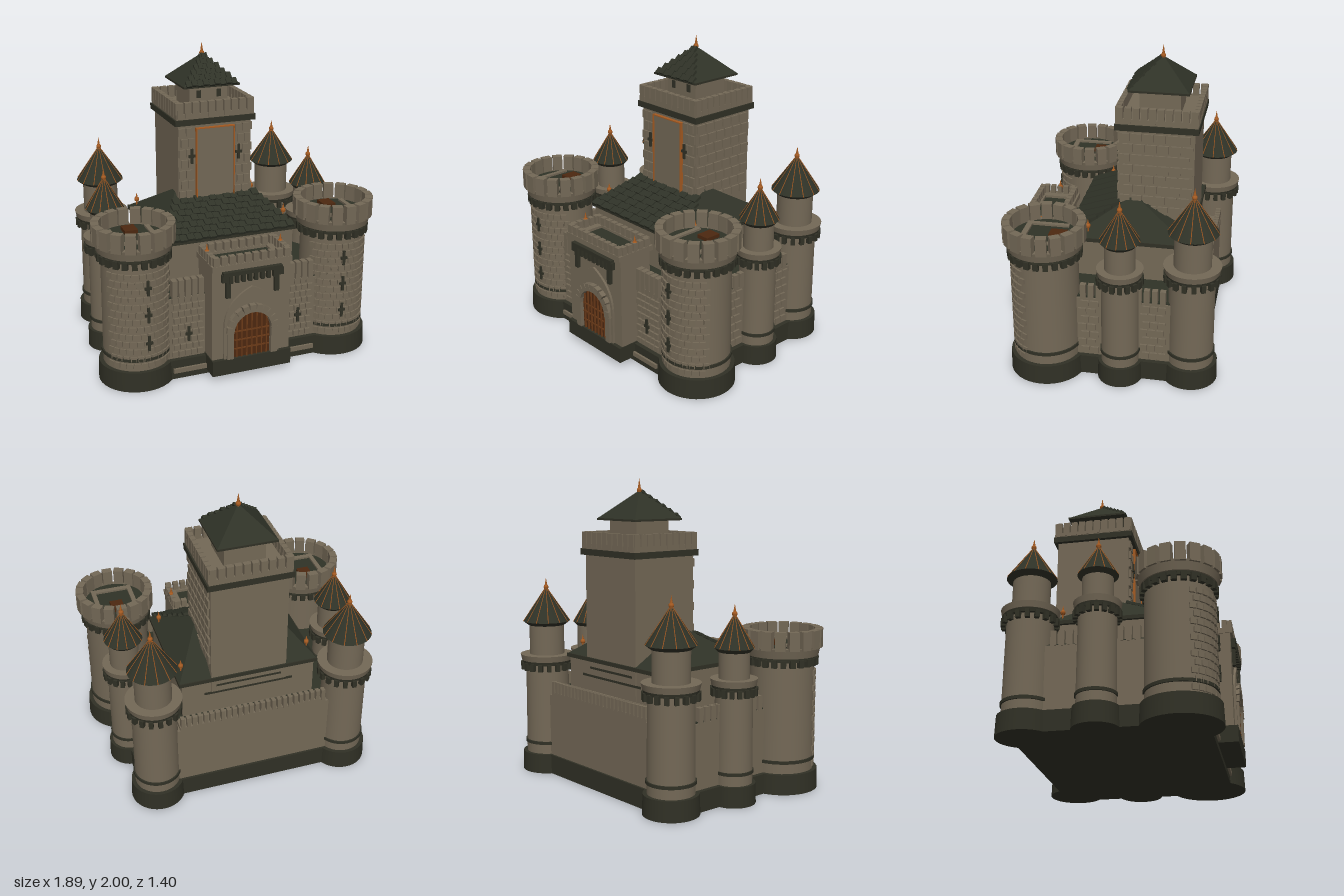
import * as THREE from 'three';
import { mergeGeometries } from 'three/addons/utils/BufferGeometryUtils.js';

const material = (name, color) => Object.assign(new THREE.MeshStandardMaterial({ color }), { name });

export function createModel() {
  const stone = material('stone', 0x736856);
  const slate = material('slate', 0x2f3227);
  const trim = material('darkTrim', 0x303025);
  const copper = material('copper', 0xa35a22);
  const wood = material('wood', 0x4c2810);
  const bar = material('gateBars', 0x6b3a18);
  const model = new THREE.Group();
  model.name = 'castle';

  // Pieces sharing a part name and colour are collected and merged.
  const parts = new Map();
  function add(name, mat, geo, x = 0, y = 0, z = 0, ry = 0, rx = 0) {
    geo = geo.index ? geo.toNonIndexed() : geo;
    geo.applyMatrix4(new THREE.Matrix4().compose(new THREE.Vector3(x, y, z),
      new THREE.Quaternion().setFromEuler(new THREE.Euler(rx, ry, 0, 'YXZ')), new THREE.Vector3(1, 1, 1)));
    if (!parts.has(name)) parts.set(name, { mat, geos: [] });
    parts.get(name).geos.push(geo);
  }
  // Box given by its extents
  const span = (name, mat, x0, x1, y0, y1, z0, z1) => add(name, mat,
    new THREE.BoxGeometry(x1 - x0, y1 - y0, z1 - z0), (x0 + x1) / 2, (y0 + y1) / 2, (z0 + z1) / 2);
  const box = (name, mat, w, h, d, x, y, z, ry, rx) => add(name, mat, new THREE.BoxGeometry(w, h, d), x, y, z, ry, rx);
  const drum = (name, mat, r0, r1, y0, y1, x, z, n = 40) =>
    add(name, mat, new THREE.CylinderGeometry(r1, r0, y1 - y0, n), x, (y0 + y1) / 2, z);
  // Boxes evenly spaced on a circle
  function ring(name, mat, n, r, w, h, d, x, y, z) {
    for (let i = 0; i < n; i++) {
      const a = i / n * Math.PI * 2;
      box(name, mat, w, h, d, x + Math.sin(a) * r, y, z + Math.cos(a) * r, a);
    }
  }
  // Straight row of boxes along x or z
  function row(name, mat, axis, from, to, n, fill, y0, y1, at, depth) {
    const p = (to - from) / n;
    for (let i = 0; i < n; i++) {
      const c = from + p * (i + 0.5), y = (y0 + y1) / 2;
      if (axis === 'x') box(name, mat, p * fill, y1 - y0, depth, c, y, at);
      else box(name, mat, depth, y1 - y0, p * fill, at, y, c);
    }
  }
  // Staggered raised blocks on a flat wall
  function blocks(name, axis, from, to, y0, y1, rows, n, at) {
    const h = (y1 - y0) / rows, p = (to - from) / n;
    for (let r = 0; r < rows; r++) {
      const s = r % 2 ? p * 0.25 : 0;
      row(name, stone, axis, from + s, to - p * 0.25 + s, n, 0.84, y0 + h * (r + 0.1), y0 + h * (r + 0.85), at, 0.02);
    }
  }
  // Cross-shaped arrow slit
  function slit(x, y, z, ry = 0) {
    box('arrowSlits', trim, 0.016, 0.1, 0.012, x, y, z, ry);
    box('arrowSlits', trim, 0.045, 0.018, 0.012, x, y, z, ry);
  }
  function finial(x, y, z, h) {
    add('finials', copper, new THREE.ConeGeometry(0.014, h, 10), x, y + h / 2, z);
    add('finials', copper, new THREE.SphereGeometry(0.017, 10, 8), x, y + 0.012, z);
  }

  // Plinth and curtain walls
  span('plinth', trim, -0.76, 0.76, 0, 0.13, -0.61, 0.56);
  span('curtainWalls', stone, -0.73, 0.73, 0.13, 0.545, -0.595, 0.53);
  span('wallWalk', slate, -0.72, 0.72, 0.545, 0.555, -0.5, 0.52);
  span('backWalk', stone, -0.5, 0.5, 0.545, 0.57, -0.595, -0.5);
  row('backMerlons', stone, 'x', -0.5, 0.5, 26, 0.65, 0.56, 0.64, -0.58, 0.035);
  span('plinthLedge', stone, -0.49, 0.49, 0.045, 0.075, 0.55, 0.575);
  for (const s of [-1, 1]) {
    row('sideMerlons', stone, 'z', -0.38, 0.18, 11, 0.7, 0.54, 0.64, s * 0.715, 0.035);
    const a = s > 0 ? 0.27 : -0.49;
    row('frontMerlons', stone, 'x', a, a + 0.22, 5, 0.75, 0.54, 0.67, 0.52, 0.05);
    blocks('frontWallBlocks', 'x', a, a + 0.22, 0.14, 0.56, 9, 5, 0.535);
    slit(s * 0.38, 0.3, 0.55);
  }
  blocks('sideWallBlocks', 'z', 0.05, 0.19, 0.14, 0.54, 7, 2, 0.733);
  blocks('sideWallBlocks', 'z', -0.38, -0.21, 0.14, 0.54, 7, 3, 0.733);

  // Hall with hip roof
  span('hallWalls', stone, -0.45, 0.45, 0.5, 0.81, -0.47, 0.29);
  span('hallEaves', trim, -0.47, 0.47, 0.805, 0.83, -0.485, 0.305);
  span('hallBackBands', trim, -0.3, 0.3, 0.7, 0.715, -0.476, -0.465);
  span('hallBackBands', trim, -0.22, 0.22, 0.755, 0.77, -0.476, -0.465);
  const roofGeo = new THREE.BoxGeometry(0.94, 0.23, 0.79);
  const rp = roofGeo.attributes.position;
  for (let i = 0; i < rp.count; i++) {
    if (rp.getY(i) > 0) rp.setXYZ(i, Math.sign(rp.getX(i)) * 0.24, rp.getY(i), 0);
  }
  const flatRoof = roofGeo.toNonIndexed();
  flatRoof.computeVertexNormals();
  add('hallRoof', slate, flatRoof, 0, 0.94, -0.09);
  const shingleRow = (name, half, y, z, n, w, len, pitch) => {
    for (let i = 0; i < n; i++)
      box(name, slate, w * 0.92, 0.018, len, -half + (i + 0.5) * 2 * half / n, y + (i % 2) * 0.005, z, 0, pitch);
  };
  for (let r = 0; r < 7; r++) {
    const t = (r + 0.4) / 9, half = 0.46 - 0.22 * t, n = 18 - r;
    shingleRow('hallShingles', half, 0.835 + 0.23 * t, 0.31 - 0.39 * t, n, 2 * half / n, 0.062, 0.42);
  }
  for (const s of [-1, 1]) for (const z of [-0.38, 0.18]) {
    add('roofPosts', copper, new THREE.CylinderGeometry(0.005, 0.005, 0.08, 8), s * 0.43, 0.86, z);
    finial(s * 0.43, 0.89, z, 0.06);
  }

  // Keep
  const kz = -0.23;
  span('keepWalls', stone, -0.255, 0.255, 0.55, 1.52, -0.475, 0.01);
  span('keepBand', trim, -0.28, 0.28, 1.51, 1.55, -0.5, 0.035);
  span('keepParapet', stone, -0.27, 0.27, 1.55, 1.585, -0.495, 0.03);
  for (const z of [-0.48, 0.015]) row('keepMerlons', stone, 'x', -0.27, 0.27, 10, 0.8, 1.56, 1.66, z, 0.035);
  for (const x of [-0.255, 0.255]) row('keepMerlons', stone, 'z', -0.495, 0.03, 10, 0.8, 1.56, 1.66, x, 0.035);
  span('keepPanel', stone, -0.13, 0.13, 1.0, 1.48, 0, 0.025);
  span('keepFrame', copper, -0.135, 0.135, 1.48, 1.487, 0.01, 0.035);
  for (const s of [-1, 1]) {
    span('keepFrame', copper, s * 0.132 - 0.003, s * 0.132 + 0.003, 1.0, 1.485, 0.01, 0.035);
    blocks('keepBlocks', 'x', s > 0 ? 0.14 : -0.255, s > 0 ? 0.255 : -0.14, 1.0, 1.5, 7, 2, 0.013);
    slit(s * 0.165, 1.3, 0.028);
    box('roomWindows', trim, 0.03, 0.05, 0.008, s * 0.07, 1.68, -0.098);
  }
  blocks('keepBlocks', 'z', -0.47, 0.01, 0.93, 1.5, 8, 6, 0.258);
  span('keepRoom', stone, -0.135, 0.135, 1.55, 1.75, -0.365, -0.1);
  span('keepRoomEaves', trim, -0.195, 0.195, 1.735, 1.748, kz - 0.195, kz + 0.195);
  const pyramid = new THREE.ConeGeometry(0.195 * Math.SQRT2, 0.18, 4).toNonIndexed();
  pyramid.computeVertexNormals();
  add('keepRoof', slate, pyramid, 0, 1.835, kz, Math.PI / 4);
  for (let r = 0; r < 6; r++) {
    const t = (r + 0.4) / 6.3, half = 0.19 * (1 - t), n = 9 - r;
    shingleRow('keepShingles', half, 1.75 + 0.18 * t, kz + 0.195 * (1 - t), n, 2 * half / n, 0.045, 0.74);
  }
  finial(0, 1.915, kz, 0.085);

  // Gatehouse
  span('gatePlinth', trim, -0.27, 0.27, 0.035, 0.14, 0.5, 0.685);
  span('gatehouseWalls', stone, -0.265, 0.265, 0.14, 0.76, 0.42, 0.66);
  span('gateRoof', slate, -0.19, 0.19, 0.76, 0.768, 0.44, 0.63);
  for (const z of [0.42, 0.65]) {
    span('gateParapet', stone, -0.27, 0.27, 0.75, 0.785, z - 0.025, z + 0.025);
    row('gateMerlons', stone, 'x', -0.265, 0.265, 10, 0.72, 0.78, 0.84, z + 0.005, 0.035);
  }
  for (const s of [-1, 1]) {
    span('gateParapet', stone, s * 0.23 - 0.04, s * 0.23 + 0.04, 0.75, 0.785, 0.4, 0.67);
    row('gateMerlons', stone, 'z', 0.42, 0.65, 5, 0.7, 0.78, 0.84, s * 0.25, 0.035);
    finial(s * 0.25, 0.82, 0.53, 0.07);
    box('gateBrackets', trim, 0.03, 0.17, 0.025, s * 0.165, 0.65, 0.67);
    box('gateBrackets', trim, 0.055, 0.05, 0.03, s * 0.18, 0.7, 0.67);
    span('gateJambs', stone, s * 0.15 - 0.022, s * 0.15 + 0.022, 0.14, 0.32, 0.65, 0.69);
  }
  row('gateBrackets', trim, 'x', -0.17, 0.17, 8, 0.55, 0.665, 0.72, 0.675, 0.03);
  span('gateBrackets', trim, -0.2, 0.2, 0.715, 0.74, 0.655, 0.69);
  // Pointed arch moulding
  const pointed = (C, w, top) => {
    const c = new C();
    c.moveTo(-w, 0.14);
    c.lineTo(-w, 0.36);
    c.quadraticCurveTo(-w, top - 0.08, 0, top);
    c.quadraticCurveTo(w, top - 0.08, w, 0.36);
    c.lineTo(w, 0.14);
    return c;
  };
  const moulding = pointed(THREE.Shape, 0.19, 0.62);
  moulding.holes.push(pointed(THREE.Path, 0.172, 0.595));
  add('archMoulding', stone, new THREE.ExtrudeGeometry(moulding, { depth: 0.02, bevelEnabled: false }), 0, 0, 0.655);
  // Arch stones over the door
  for (let i = 0; i < 11; i++) {
    const a = (i + 0.5) / 11 * Math.PI, g = new THREE.BoxGeometry(0.05, 0.04, 0.045).rotateZ(a);
    add('archStones', stone, g, Math.cos(a) * 0.152, 0.32 + Math.sin(a) * 0.152, 0.672);
  }
  const door = new THREE.Shape();
  door.moveTo(-0.125, 0.14);
  door.lineTo(0.125, 0.14);
  door.absarc(0, 0.32, 0.125, 0, Math.PI);
  add('gateDoor', wood, new THREE.ExtrudeGeometry(door, { depth: 0.008, bevelEnabled: false }), 0, 0, 0.658);
  for (let i = -3; i <= 3; i++) {
    const x = i * 0.034, top = 0.32 + Math.sqrt(0.125 ** 2 - x * x);
    span('portcullis', bar, x - 0.004, x + 0.004, 0.14, top, 0.665, 0.675);
  }
  for (const y of [0.2, 0.26, 0.32]) span('portcullis', bar, -0.12, 0.12, y - 0.004, y + 0.004, 0.665, 0.673);

  // Front towers
  for (const s of [-1, 1]) {
    const x = s * 0.685, z = 0.4;
    drum('towerBases', trim, 0.245, 0.24, 0, 0.13, x, z);
    drum('towerWalls', stone, 0.213, 0.208, 0.13, 0.9, x, z);
    drum('towerBands', trim, 0.222, 0.222, 0.195, 0.215, x, z);
    drum('towerBands', trim, 0.226, 0.226, 0.855, 0.88, x, z);
    ring('towerCorbels', trim, 24, 0.222, 0.035, 0.05, 0.03, x, 0.845, z);
    drum('towerParapets', stone, 0.235, 0.25, 0.88, 0.945, x, z);
    ring('towerMerlons', stone, 18, 0.235, 0.066, 0.12, 0.05, x, 0.992, z);
    drum('towerFloors', slate, 0.205, 0.205, 0.94, 0.952, x, z);
    span('floorKerbs', stone, x - 0.14, x + 0.14, 0.95, 0.965, z + 0.105, z + 0.14);
    for (const k of [-1, 1]) span('floorKerbs', stone, x + k * 0.125 - 0.015, x + k * 0.125 + 0.015, 0.95, 0.965, z - 0.13, z + 0.14);
    span('roofHatches', wood, x - 0.042, x + 0.042, 0.95, 0.975, z - 0.14, z - 0.035);
    // Blocks on the front half
    for (let r = 0; r < 13; r++) for (let i = 0; i < 11; i++) {
      const a = (i - 5 + (r % 2 ? 0.25 : -0.25)) * 0.205;
      box('towerBlocks', stone, 0.037, 0.034, 0.02, x + Math.sin(a) * 0.211, 0.165 + r * 0.05, z + Math.cos(a) * 0.211, a);
    }
    for (const y of [0.32, 0.51, 0.69]) slit(x - s * 0.02, y, z + 0.224);
  }

  // Turrets with ribbed cone roofs
  function turret(x, z, r, rTop, rCone, yRing, yCone, yTip) {
    drum('turretBases', trim, r * 1.2, r * 1.17, 0, 0.13, x, z);
    drum('turretWalls', stone, r, r * 0.98, 0.13, yRing + 0.02, x, z);
    drum('turretBands', trim, r * 1.06, r * 1.06, 0.195, 0.215, x, z);
    drum('turretBands', trim, r * 1.12, r * 1.15, yRing + 0.02, yRing + 0.045, x, z);
    ring('turretCorbels', trim, 18, r * 1.12, 0.028, 0.05, 0.028, x, yRing + 0.005, z);
    drum('turretParapets', stone, r * 1.17, r * 1.23, yRing + 0.045, yRing + 0.085, x, z);
    drum('turretDrums', stone, rTop, rTop, yRing + 0.08, yCone, x, z);
    drum('turretEaves', trim, rTop * 1.06, rCone, yCone - 0.025, yCone, x, z);
    add('turretRoofs', slate, new THREE.ConeGeometry(rCone, yTip - yCone, 24), x, (yCone + yTip) / 2, z);
    const len = Math.hypot(rCone, yTip - yCone);
    for (let i = 0; i < 12; i++)
      add('roofRibs', copper, new THREE.CylinderGeometry(0.002, 0.003, len, 5), x + Math.sin(i * Math.PI / 6) * rCone / 2,
        (yCone + yTip) / 2, z + Math.cos(i * Math.PI / 6) * rCone / 2, i * Math.PI / 6, -Math.atan2(rCone, yTip - yCone));
    finial(x, yTip - 0.015, z, 0.075);
  }
  for (const s of [-1, 1]) {
    turret(s * 0.65, -0.525, 0.148, 0.118, 0.158, 0.725, 1.035, 1.27);
    turret(s * 0.735, -0.085, 0.12, 0.097, 0.126, 0.705, 0.98, 1.19);
  }

  for (const [name, { mat, geos }] of parts) {
    const mesh = new THREE.Mesh(mergeGeometries(geos), mat);
    mesh.name = name;
    model.add(mesh);
  }
  return model;
}
